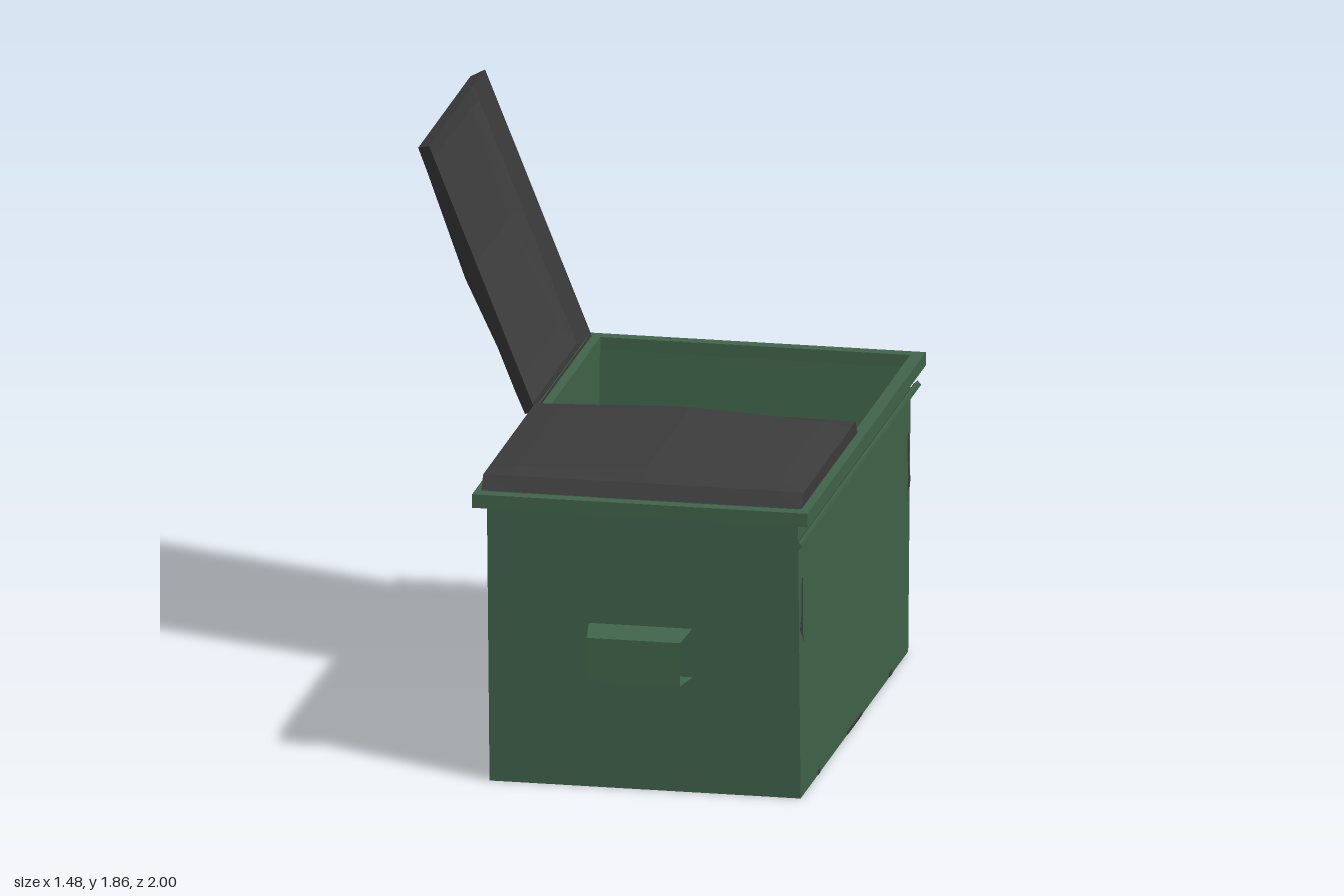
import * as THREE from 'three';

const green = new THREE.MeshStandardMaterial({ color: 0x41644b, side: THREE.DoubleSide });
green.name = 'green paint';
const dark = new THREE.MeshStandardMaterial({ color: 0x3c3c3c, side: THREE.DoubleSide });
dark.name = 'dark grey plastic';

// Flat-shaded sheet from a list of four-cornered faces
function sheet(quads) {
  const pts = quads.flatMap(([a, b, c, d]) => [a, b, c, a, c, d]).map((p) => new THREE.Vector3(...p));
  const g = new THREE.BufferGeometry().setFromPoints(pts);
  g.computeVertexNormals();
  return g;
}

// Hollow domed lid: hinge edge at x = 0, running 0..0.89 in z
function lidGeometry(length) {
  const xs = [0, 0, 0.09, 0.5, 0.91, 1, 1].map((x) => x * length);
  const zs = [0, 0.03, 0.1, 0.79, 0.86, 0.89];
  const dome = [0, 0.045, 0.06, 0.083, 0.06, 0.045, 0];
  const point = (i, j) => {
    const rimRow = j === 0 || j === 5;
    const lowRow = j === 1 || j === 4;
    const y = rimRow ? 0 : lowRow ? Math.min(dome[i], 0.047) : dome[i];
    return [xs[i], y, zs[j]];
  };
  const quads = [];
  for (let i = 0; i < 6; i++) {
    for (let j = 0; j < 5; j++) {
      quads.push([point(i, j), point(i, j + 1), point(i + 1, j + 1), point(i + 1, j)]);
    }
  }
  return sheet(quads);
}

export function createModel() {
  const model = new THREE.Group();
  model.name = 'openTopWasteContainer';
  const add = (name, geometry, material, x = 0, y = 0, z = 0) => {
    const mesh = new THREE.Mesh(geometry, material);
    mesh.name = name;
    mesh.position.set(x, y, z);
    model.add(mesh);
    return mesh;
  };

  // Open bin: a box without its top face, ends leaning outwards
  const bin = new THREE.BoxGeometry(1.02, 0.96, 1.71);
  const index = Array.from(bin.index.array);
  index.splice(12, 6);
  bin.setIndex(index);
  const p = bin.attributes.position;
  for (let i = 0; i < p.count; i++) {
    if (p.getY(i) > 0) p.setZ(i, Math.sign(p.getZ(i)) * 0.898);
  }
  bin.computeVertexNormals();
  add('bin', bin, green, 0.19, 0.48, 0);

  // Rim frame around the opening
  const outline = (halfX, halfZ, Kind) => new Kind([
    new THREE.Vector2(-halfX, -halfZ), new THREE.Vector2(halfX, -halfZ),
    new THREE.Vector2(halfX, halfZ), new THREE.Vector2(-halfX, halfZ),
  ]);
  const frame = outline(0.55, 0.94, THREE.Shape);
  frame.holes.push(outline(0.508, 0.897, THREE.Path));
  const rim = new THREE.ExtrudeGeometry(frame, { depth: 0.045, bevelEnabled: false });
  rim.rotateX(-Math.PI / 2);
  add('rim', rim, green, 0.19, 0.935, 0);

  // Long rod under the rim
  const rod = new THREE.CylinderGeometry(0.013, 0.013, 1.885, 4);
  rod.rotateX(Math.PI / 2);
  add('sideRod', rod.toNonIndexed(), green, 0.712, 0.87, 0);

  // Lifting pockets on both ends, open along x
  for (const s of [1, -1]) {
    const section = [[0.555, 0.876, 0.01, 0.35], [0.54, 1, 0.028, 0.335],
      [0.395, 1, 0.028, 0.335], [0.39, 0.872, 0.01, 0.35]];
    const quads = [];
    for (let i = 0; i < 3; i++) {
      const [y0, z0, l0, r0] = section[i];
      const [y1, z1, l1, r1] = section[i + 1];
      quads.push([[l0, y0, s * z0], [l1, y1, s * z1], [r1, y1, s * z1], [r0, y0, s * z0]]);
    }
    add(s > 0 ? 'frontPocket' : 'backPocket', sheet(quads), green);
  }

  // One lid shut, the other thrown back on its hinge
  add('closedLid', lidGeometry(1.05), dark, -0.34, 0.98, 0);
  const openLid = add('openLid', lidGeometry(0.938), dark, -0.345, 0.985, -0.89);
  openLid.rotation.z = 1.953;

  // Worn patches on the long wall and floor
  for (const s of [1, -1]) {
    const patch = new THREE.Shape([[0.82, 0.5], [0.835, 0.58], [0.83, 0.73], [0.845, 0.74],
      [0.858, 0.7], [0.855, 0.62], [0.88, 0.57], [0.84, 0.54]]
      .map(([z, y]) => new THREE.Vector2(-s * z, y)));
    const g = new THREE.ShapeGeometry(patch);
    g.rotateY(Math.PI / 2);
    add('wallPatch', g, dark, 0.703, 0, 0);
    add('footPatch', new THREE.BoxGeometry(0.004, 0.014, 0.04), dark, 0.701, 0.009, s * 0.57);
  }
  add('footPatch', new THREE.BoxGeometry(0.004, 0.01, 0.23), dark, 0.701, 0.007, 0);
  add('floorPatch', new THREE.BoxGeometry(0.035, 0.004, 0.2), dark, 0.675, 0.004, -0.66);

  return model;
}
